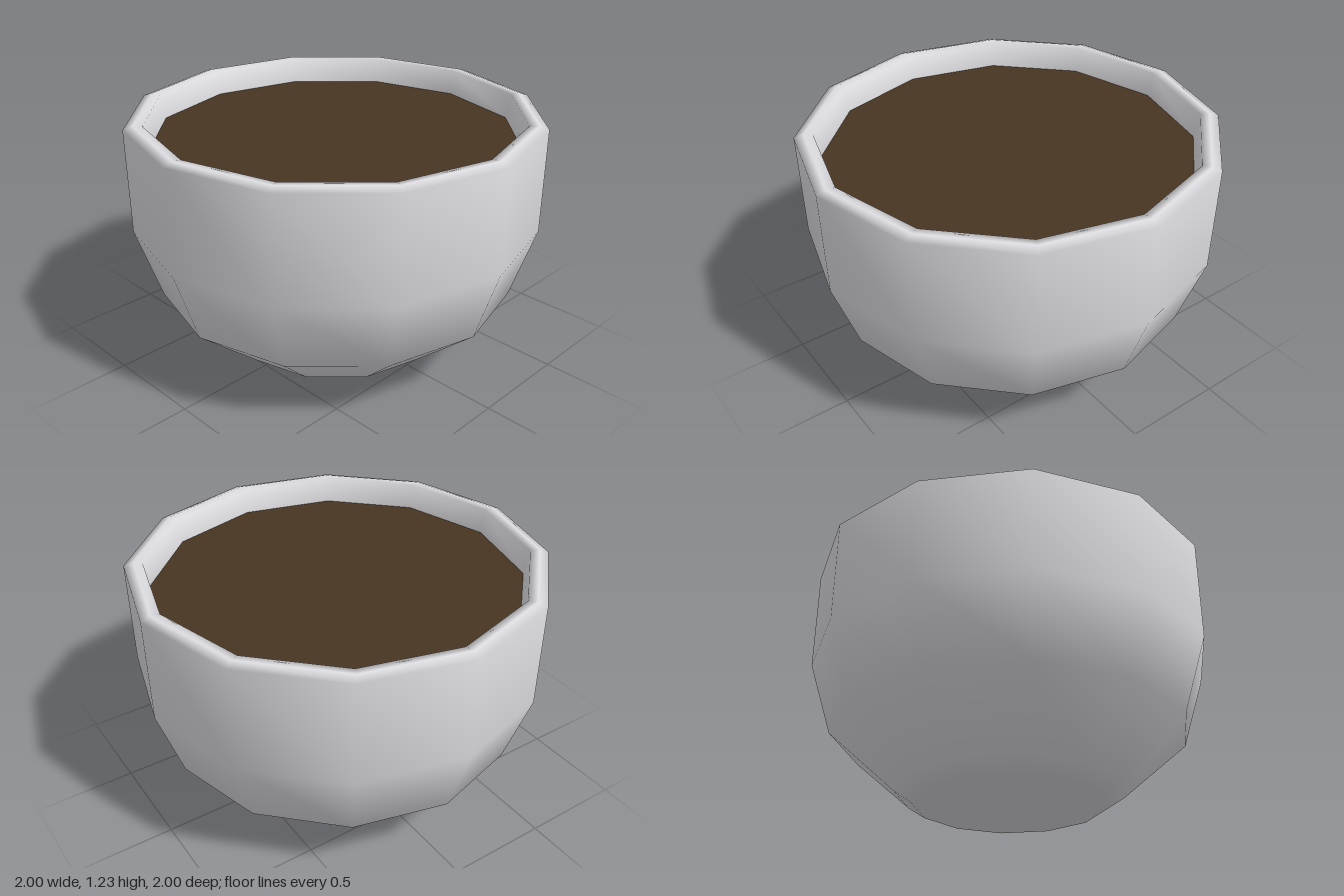
import * as THREE from 'three';

const SIDES = 12;

export function createModel() {
  const model = new THREE.Group();
  model.name = 'filledBowl';

  const porcelain = new THREE.MeshStandardMaterial({ color: 0xe0e0e4 });
  porcelain.name = 'pale porcelain';
  const brown = new THREE.MeshStandardMaterial({ color: 0x483523 });
  brown.name = 'dark brown liquid';

  // Bowl: foot, flared side, rounded rim and inner wall in one turned profile
  const profile = [
    [0, 0], [0.47, 0], [0.56, 0.06], [0.885, 0.34], [1, 0.7], [1, 1.21],
    [0.955, 1.225], [0.91, 1.22], [0.89, 1.1], [0.89, 1.02],
  ].map(([r, y]) => new THREE.Vector2(r, y));
  const bowl = new THREE.Mesh(new THREE.LatheGeometry(profile, SIDES), porcelain);
  bowl.name = 'bowl';
  model.add(bowl);

  // Flat liquid surface set below the rim
  const surface = new THREE.CircleGeometry(0.89, SIDES);
  surface.rotateX(-Math.PI / 2);
  const liquid = new THREE.Mesh(surface, brown);
  liquid.name = 'liquid';
  liquid.position.y = 1.1;
  model.add(liquid);

  return model;
}
